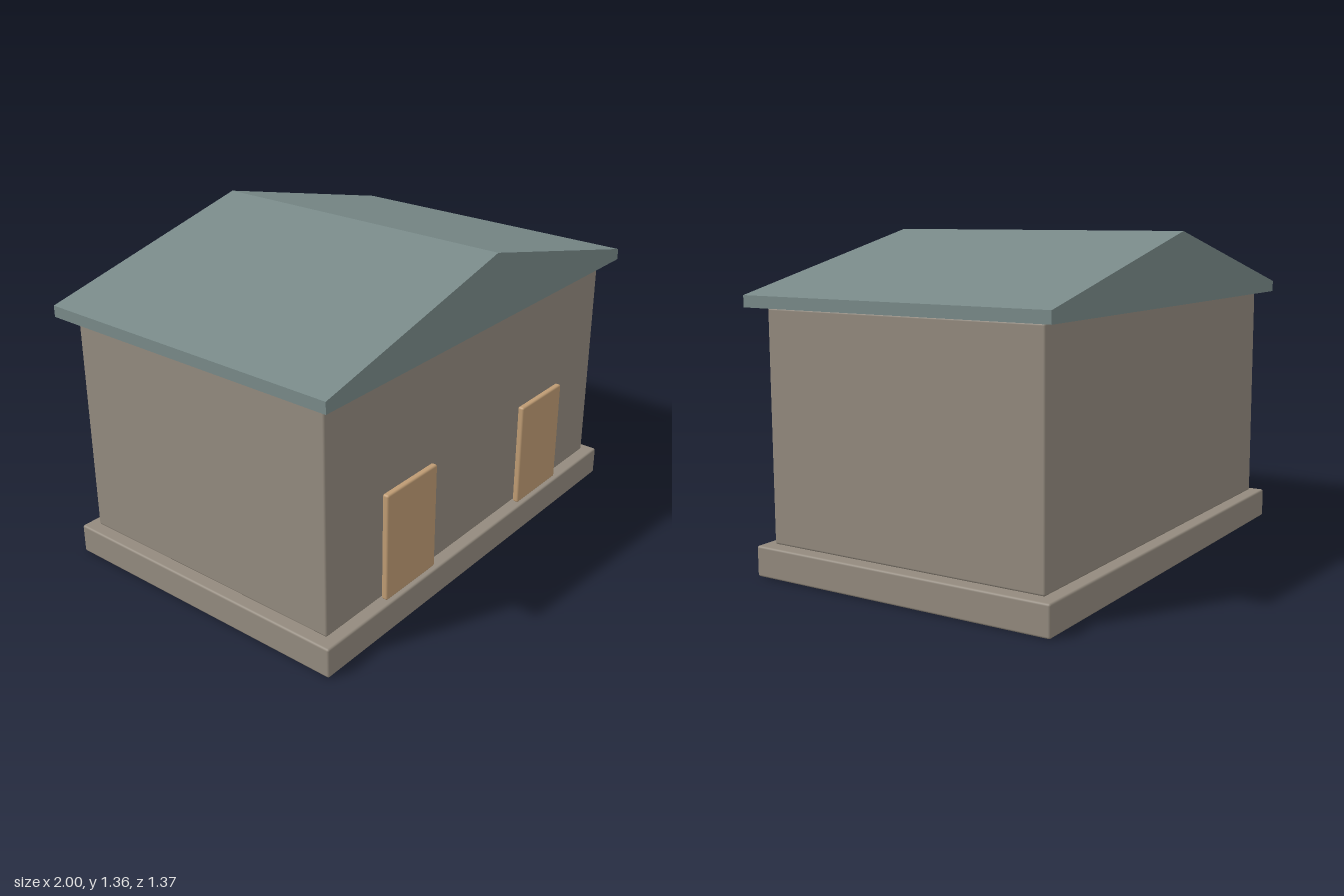
import * as THREE from 'three';
import { RoundedBoxGeometry } from 'three/addons/geometries/RoundedBoxGeometry.js';

const material = (name, color) => {
  const m = new THREE.MeshStandardMaterial({ color });
  m.name = name;
  return m;
};

export function createModel() {
  const house = new THREE.Group();
  house.name = 'house';
  const stone = material('stone', 0x938a7e);
  const slate = material('slate', 0x788988);
  const wood = material('wood', 0xbe9b73);

  const add = (name, geometry, mat, x, y, z) => {
    const mesh = new THREE.Mesh(geometry, mat);
    mesh.name = name;
    mesh.position.set(x, y, z);
    house.add(mesh);
  };
  // Softly rounded block standing on height y
  const block = (name, mat, [w, h, d], [x, y, z], radius) =>
    add(name, new RoundedBoxGeometry(w, h, d, 3, radius), mat, x, y + h / 2, z);

  // Foundation slab and walls
  block('foundation', stone, [1.974, 0.125, 1.35], [0, 0, 0], 0.009);
  block('walls', stone, [1.874, 0.937, 1.25], [0, 0.127, 0], 0.009);

  // Pair of doors on the front
  for (const side of [-1, 1]) {
    block(side > 0 ? 'leftDoor' : 'rightDoor', wood,
      [0.312, 0.456, 0.028], [side * 0.467, 0.129, 0.645], 0.009);
  }

  // Low gable roof with upright eaves, ridge running front to back
  const depth = 1.374;
  const gable = new THREE.Shape([
    [-1, 0], [1, 0], [1, 0.047], [0, 0.288], [-1, 0.047],
  ].map(([x, y]) => new THREE.Vector2(x, y)));
  const roof = new THREE.ExtrudeGeometry(gable, { depth, bevelEnabled: false });
  add('roof', roof, slate, 0, 1.067, -depth / 2);

  return house;
}
